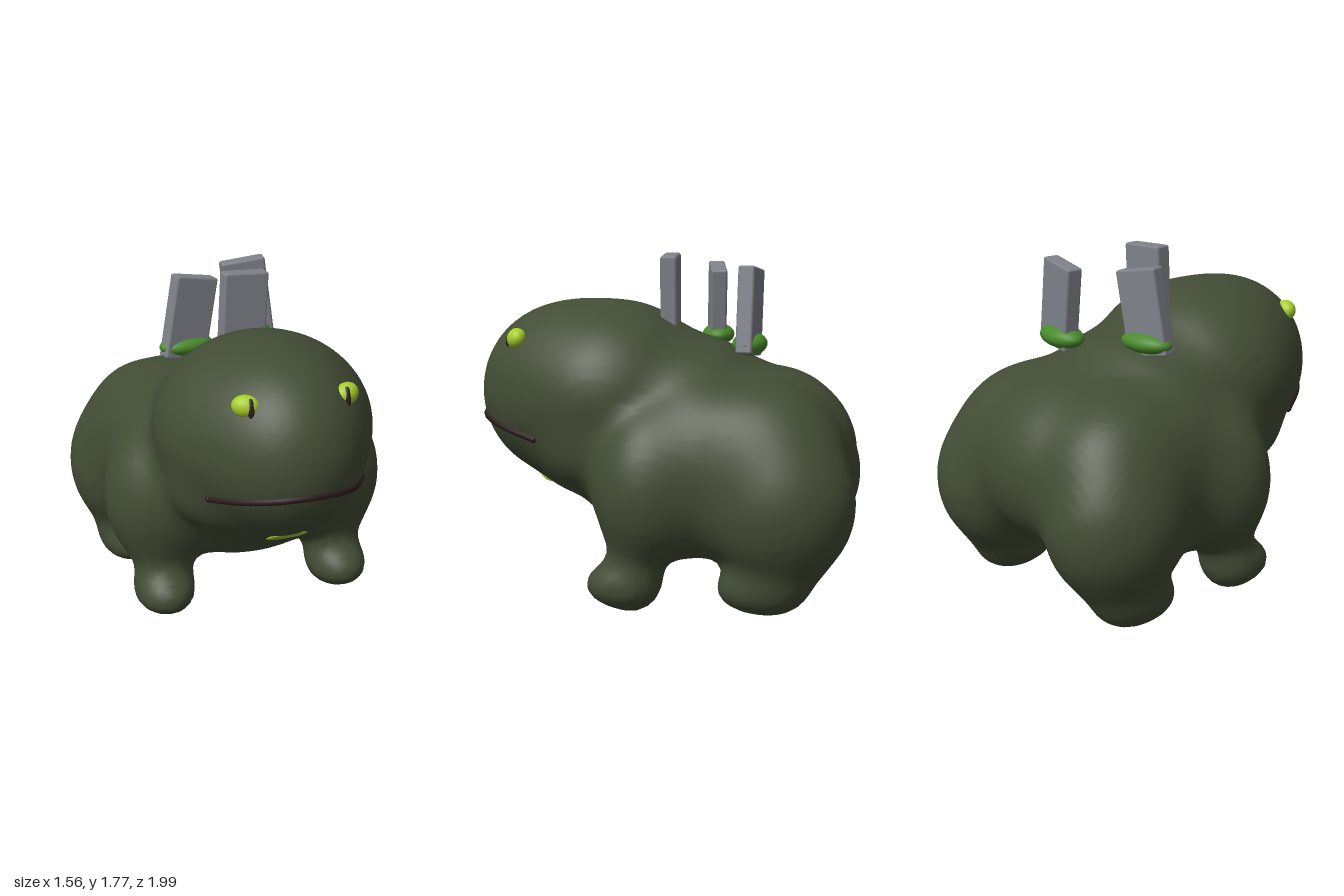
import * as THREE from 'three';
import { RoundedBoxGeometry } from 'three/addons/geometries/RoundedBoxGeometry.js';

const material = (name, color) => Object.assign(new THREE.MeshStandardMaterial({ color }), { name });

// Body lumps: centre, radii; mirrored when the centre is off the middle
const lumps = [
  [[0, 1.05, 0.3], [0.56, 0.48, 0.535]],      // head
  [[0, 1.05, 0.555], [0.405, 0.455, 0.44]],   // snout
  [[0, 0.78, 0.35], [0.51, 0.29, 0.32]],      // throat
  [[0, 0.6, 0.12], [0.55, 0.3, 0.24]],        // chest
  [[0, 0.87, -0.15], [0.57, 0.47, 0.44]],     // back
  [[0, 0.71, -0.1], [0.58, 0.455, 0.54]],     // belly
  [[0, 0.74, -0.51], [0.61, 0.45, 0.475]],    // rump
  [[0.42, 0.68, -0.23], [0.275, 0.41, 0.33]], // flank
  [[0.46, 0.62, 0.03], [0.295, 0.39, 0.275]], // shoulder
  [[0.45, 0.56, -0.62], [0.33, 0.41, 0.375]], // haunch
  [[0.38, 0.81, -0.51], [0.285, 0.33, 0.37]], // upper haunch
  [[0.48, 0.28, 0.1], [0.12, 0.25, 0.105]],   // front leg
  [[0.49, 0.13, 0.165], [0.15, 0.115, 0.18]], // front foot
  [[0.48, 0.27, -0.62], [0.14, 0.22, 0.18]],  // back leg
  [[0.49, 0.13, -0.52], [0.15, 0.115, 0.2]],  // back foot
];

function lumpDistance(x, y, z, [c, r]) {
  const px = (c[0] ? Math.abs(x) : x) - c[0], py = y - c[1], pz = z - c[2];
  const k0 = Math.hypot(px / r[0], py / r[1], pz / r[2]);
  const k1 = Math.hypot(px / r[0] ** 2, py / r[1] ** 2, pz / r[2] ** 2);
  return k1 < 1e-6 ? -Math.min(...r) : k0 * (k0 - 1) / k1;
}

// Smoothly blended distance to the whole body
function bodyDistance(x, y, z) {
  const k = 0.12;
  let d = 10;
  for (const lump of lumps) {
    const e = lumpDistance(x, y, z, lump);
    const h = Math.max(k - Math.abs(d - e), 0) / k;
    d = Math.min(d, e) - h * h * k / 4;
  }
  return d;
}

// Depth of the front surface at a given x, y
function frontZ(x, y) {
  let z = 1.15;
  while (z > 0 && bodyDistance(x, y, z) > 0) z -= 0.002;
  return z;
}

// Skin over the blended lumps: one vertex per crossed cell, one quad per crossed edge
function bodyGeometry() {
  const step = 0.03, min = [-0.93, -0.09, -1.14], n = [63, 58, 76];
  const id = (i, j, k) => (k * n[1] + j) * n[0] + i;
  const field = new Float32Array(n[0] * n[1] * n[2]);
  const cells = new Int32Array(field.length).fill(-1);
  const positions = [], index = [];
  const each = (from, to, fn) => {
    for (let k = from; k < n[2] - to; k++)
      for (let j = from; j < n[1] - to; j++)
        for (let i = from; i < n[0] - to; i++) fn(i, j, k);
  };
  each(0, 0, (i, j, k) => {
    field[id(i, j, k)] = bodyDistance(min[0] + i * step, min[1] + j * step, min[2] + k * step);
  });
  each(0, 1, (i, j, k) => {
    const sum = [0, 0, 0];
    let count = 0;
    for (let a = 0; a < 3; a++) for (let s = 0; s < 4; s++) {
      const p = [0, 0, 0];
      p[(a + 1) % 3] = s & 1;
      p[(a + 2) % 3] = s >> 1;
      const q = [...p];
      q[a] = 1;
      const f = field[id(i + p[0], j + p[1], k + p[2])];
      const g = field[id(i + q[0], j + q[1], k + q[2])];
      if ((f < 0) === (g < 0)) continue;
      p[a] = f / (f - g);
      p.forEach((v, m) => { sum[m] += v; });
      count++;
    }
    if (!count) return;
    cells[id(i, j, k)] = positions.length / 3;
    [i, j, k].forEach((v, m) => positions.push(min[m] + (v + sum[m] / count) * step));
  });
  each(1, 1, (i, j, k) => {
    const inside = field[id(i, j, k)] < 0;
    for (let a = 0; a < 3; a++) {
      const p = [i, j, k];
      p[a]++;
      if (inside === (field[id(...p)] < 0)) continue;
      const quad = [[1, 1], [0, 1], [0, 0], [1, 0]].map(([u, v]) => {
        const c = [i, j, k];
        c[(a + 1) % 3] -= u;
        c[(a + 2) % 3] -= v;
        return cells[id(...c)];
      });
      if (!inside) quad.reverse();
      index.push(quad[0], quad[1], quad[2], quad[0], quad[2], quad[3]);
    }
  });
  const geometry = new THREE.BufferGeometry();
  geometry.setAttribute('position', new THREE.Float32BufferAttribute(positions, 3));
  geometry.setIndex(index);
  geometry.computeVertexNormals();
  return geometry;
}

export function createModel() {
  const model = new THREE.Group();
  const skin = material('darkOlive', 0x434d35);
  const lime = material('lime', 0xa6cf2b);
  const dark = material('darkBrown', 0x2c1b1b);
  const stone = material('stoneGrey', 0x7f828a);
  const moss = material('mossGreen', 0x498a2a);

  const add = (name, geometry, mat, position = [0, 0, 0], rotation = [0, 0, 0]) => {
    const mesh = new THREE.Mesh(geometry, mat);
    mesh.name = name;
    mesh.position.set(...position);
    mesh.rotation.set(...rotation);
    model.add(mesh);
    return mesh;
  };
  const ball = (name, mat, position, radii, rotation = [0, 0, 0]) =>
    add(name, new THREE.SphereGeometry(1, 24, 16), mat, position, rotation).scale.set(...radii);

  add('body', bodyGeometry(), skin);

  // Eyes with upright slit pupils
  for (const side of [-1, 1]) {
    const label = side > 0 ? 'left' : 'right';
    const z = frontZ(side * 0.255, 1.34);
    ball(label + 'Eye', lime, [side * 0.255, 1.34, z - 0.005], [0.068, 0.054, 0.05], [-0.2, side * 0.4, side * 0.2]);
    ball(label + 'Pupil', dark, [side * 0.243, 1.337, z + 0.034], [0.018, 0.05, 0.018], [-0.2, 0, 0]);
  }

  // Downturned mouth following the face
  const mouthPoints = [];
  for (let i = 0; i <= 16; i++) {
    const x = -0.4 + i * 0.05;
    const y = 0.93 - 0.56 * x * x;
    mouthPoints.push(new THREE.Vector3(x, y, frontZ(x, y)));
  }
  add('mouth', new THREE.TubeGeometry(new THREE.CatmullRomCurve3(mouthPoints), 48, 0.017, 8), dark);
  for (const end of [mouthPoints[0], mouthPoints[16]])
    ball('mouthCorner', dark, end.toArray(), [0.018, 0.018, 0.018]);

  // Pale patch lying flat under the chin
  ball('chinPatch', lime, [0, 0.585, frontZ(0, 0.585)], [0.11, 0.01, 0.05], [-0.63, 0, 0]);

  // Leaning stone slabs on the back, two of them set in moss
  const slabs = [
    [[0.005, 1.545, -0.007], [0, 0.05, -0.05]],
    [[-0.215, 1.485, -0.225], [0, 0.19, -0.18]],
    [[0.185, 1.49, -0.44], [0, -0.13, 0.13]],
  ];
  for (const [position, rotation] of slabs)
    add('stoneSlab', new RoundedBoxGeometry(0.24, 0.44, 0.085, 1, 0.012), stone, position, rotation);
  ball('moss', moss, [-0.23, 1.335, -0.23], [0.15, 0.055, 0.085], [0, 0.15, 0]);
  ball('moss', moss, [0.18, 1.325, -0.44], [0.15, 0.06, 0.088], [0, -0.05, 0]);

  return model;
}
